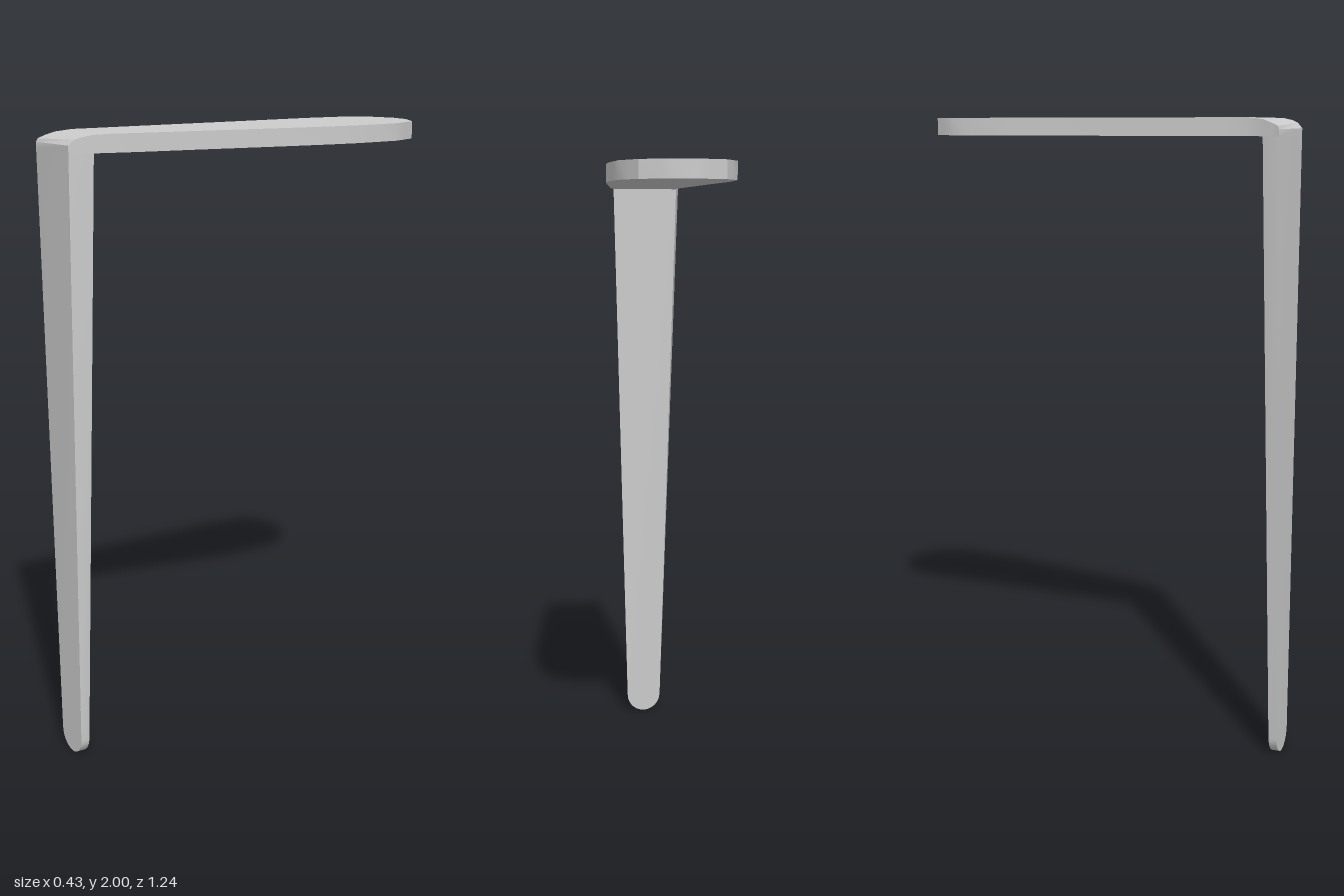
import * as THREE from 'three';
import { toCreasedNormals } from 'three/addons/utils/BufferGeometryUtils.js';

// Skin a row of four-cornered cross-sections and cap both ends.
// Corners run anticlockwise as seen from the far end of the row.
function loft(sections) {
  const pos = [];
  const tri = (a, b, c) => pos.push(...a, ...b, ...c);
  const quad = (a, b, c, d) => { tri(a, b, c); tri(a, c, d); };
  for (let i = 0; i < sections.length - 1; i++) {
    const s = sections[i], t = sections[i + 1];
    for (let k = 0; k < 4; k++) {
      const n = (k + 1) % 4;
      quad(s[k], s[n], t[n], t[k]);
    }
  }
  const a = sections[0], b = sections[sections.length - 1];
  quad(a[3], a[2], a[1], a[0]);
  quad(b[0], b[1], b[2], b[3]);
  const g = new THREE.BufferGeometry();
  g.setAttribute('position', new THREE.Float32BufferAttribute(pos, 3));
  return toCreasedNormals(g, 0.6);
}

export function createModel() {
  const group = new THREE.Group();
  const material = new THREE.MeshStandardMaterial({ color: 0xcccccc, side: THREE.DoubleSide });
  const add = (name, geometry) => {
    const mesh = new THREE.Mesh(geometry, material);
    mesh.name = name;
    group.add(mesh);
  };

  // Paddle-shaped blade: z, edge x on each side, top height on each side
  const underside = 1.945;
  const rows = [
    [-0.62, 0.012, 0.018, 2, 2],
    [-0.61, -0.015, 0.09, 2, 2],
    [-0.59, -0.075, 0.124, 2, 2],
    [-0.56, -0.095, 0.175, 2, 2],
    [-0.51, -0.128, 0.195, 2, 2],
    [-0.46, -0.135, 0.215, 2, 2],
    [-0.38, -0.147, 0.214, 2, 2],
    [-0.3, -0.15, 0.213, 2, 2],
    [-0.2, -0.153, 0.2, 2, 2],
    [0, -0.16, 0.16, 2, 2],
    [0.2, -0.168, 0.115, 2, 2],
    [0.42, -0.176, 0.07, 2, 2],
    [0.5, -0.18, 0.048, 2, 2],
    [0.55, -0.194, 0.033, 1.994, 1.998],
    [0.58, -0.206, 0.02, 1.984, 1.992],
    [0.6, -0.212, 0.008, 1.975, 1.984],
    [0.61, -0.215, 0, 1.965, 1.968],
  ];
  add('blade', loft(rows.map(([z, xl, xr, yl, yr], i) => {
    // The front edge is slightly skewed to meet the leg
    const last = i === rows.length - 1;
    const zl = last ? 0.605 : z, zr = last ? 0.616 : z;
    return [[xl, underside, zl], [xr, underside, zr], [xr, yr, zr], [xl, yl, zl]];
  })));

  // Tapering leg with a rounded foot
  const foot = 0.06;
  const legSection = (y, squeeze) => {
    const t = y / underside;
    const mix = (bottom, top) => THREE.MathUtils.lerp(bottom, top, t);
    const x = (bottom, top) => -0.085 + (mix(bottom, top) + 0.085) * squeeze;
    return [
      [x(-0.145, -0.215), y, mix(0.62, 0.605)],
      [x(-0.143, -0.195), y, mix(0.594, 0.55)],
      [x(-0.023, 0.033), y, mix(0.594, 0.55)],
      [x(-0.027, 0), y, mix(0.62, 0.616)],
    ].reverse();
  };
  const legSections = [];
  for (let i = 0; i <= 6; i++) {
    const a = (i / 6) * Math.PI / 2;
    legSections.push(legSection(foot * (1 - Math.cos(a)), Math.max(Math.sin(a), 0.05)));
  }
  legSections.push(legSection(underside, 1));
  // Corner order is turned so that the walls face outward
  add('leg', loft(legSections.map(([a, b, c, d]) => [d, a, b, c])));

  return group;
}
